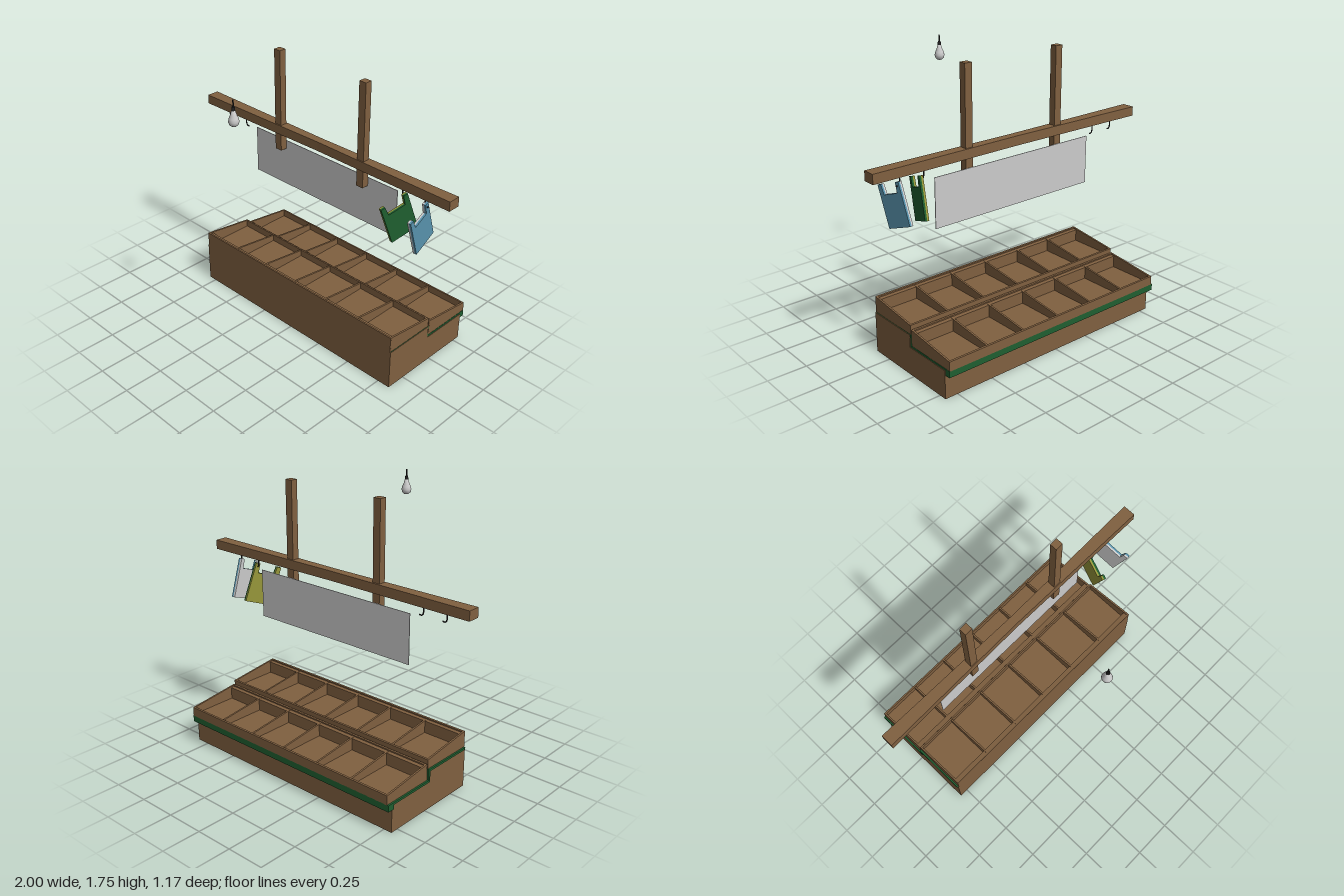
import * as THREE from 'three';

const mat = (color) => new THREE.MeshStandardMaterial({ color, flatShading: true });
const wood = mat(0x806040), green = mat(0x1f5f30), olive = mat(0x97973a);
const blue = mat(0x5893ad), grey = mat(0xcccccc), black = mat(0x222222);

export function createModel() {
  const model = new THREE.Group();

  function add(parent, name, geometry, material) {
    const mesh = new THREE.Mesh(geometry, material);
    mesh.name = name;
    parent.add(mesh);
    return mesh;
  }

  // Box given by its limits on each axis
  function box(name, [x0, x1], [y0, y1], [z0, z1], material, parent = model) {
    const g = new THREE.BoxGeometry(x1 - x0, y1 - y0, z1 - z0);
    g.translate((x0 + x1) / 2, (y0 + y1) / 2, (z0 + z1) / 2);
    return add(parent, name, g, material);
  }

  // Side profile of [z, y] points, swept from x0 to x1
  function sweep(name, points, x0, x1, material, parent = model) {
    const shape = new THREE.Shape(points.map((p) => new THREE.Vector2(...p)));
    const g = new THREE.ExtrudeGeometry(shape, { depth: x1 - x0, bevelEnabled: false });
    g.rotateY(-Math.PI / 2).translate(x1, 0, 0);
    return add(parent, name, g, material);
  }

  // Stepped base of the display crate
  sweep('base', [[0.13, 0], [0.13, 0.26], [-0.222, 0.26], [-0.222, 0.18], [-0.55, 0.18], [-0.55, 0]],
    -0.805, 0.835, wood);

  // Cloth following the step and hanging over the back
  sweep('cloth', [[0.125, 0.248], [0.125, 0.262], [-0.228, 0.262], [-0.228, 0.192], [-0.587, 0.192],
    [-0.587, 0.15], [-0.54, 0.15], [-0.54, 0.178], [-0.215, 0.178], [-0.215, 0.248]], -0.811, 0.832, green);

  // Two sloping trays, each split into six compartments
  function tray(name, zBack, zFront, bottom, yBack, yFront) {
    const group = new THREE.Group();
    group.name = name;
    const topAt = (z) => yBack + (yFront - yBack) * (z - zBack) / (zFront - zBack);
    const wall = (part, z0, z1, x0, x1, drop = 0) => sweep(part,
      [[z0, bottom], [z1, bottom], [z1, topAt(z1) - drop], [z0, topAt(z0) - drop]], x0, x1, wood, group);
    box('trayFloor', [-0.795, 0.825], [bottom, bottom + 0.015], [zBack + 0.005, zFront - 0.005], wood, group);
    wall('trayBack', zBack, zBack + 0.012, -0.80, 0.83);
    wall('trayFront', zFront - 0.012, zFront, -0.80, 0.83);
    wall('trayInnerFront', zFront - 0.035, zFront - 0.012, -0.79, 0.82, 0.008);
    for (let i = 0; i <= 6; i++) {
      const end = i === 0 || i === 6;
      const x = -0.794 + i * 0.2697;
      wall(end ? 'traySide' : 'divider', zBack + 0.006, zFront - 0.006, x - 0.006, x + 0.006, end ? 0 : 0.006);
    }
    model.add(group);
  }
  tray('frontTray', -0.225, 0.13, 0.26, 0.32, 0.365);
  tray('backTray', -0.587, -0.232, 0.19, 0.25, 0.295);

  // Hanging beam, slimmer towards the middle
  const beam = new THREE.BoxGeometry(2, 0.06, 0.08, 12, 1, 1);
  const pos = beam.attributes.position;
  for (let i = 0; i < pos.count; i++) {
    pos.setZ(i, pos.getZ(i) * (0.68 + 0.32 * Math.abs(pos.getX(i))));
  }
  beam.translate(0, 1.224, -0.137);
  add(model, 'beam', beam, wood);

  for (const x of [-0.345, 0.34]) {
    box('post', [x - 0.025, x + 0.025], [1.08, 1.745], [-0.158, -0.112], wood);
  }
  box('signPanel', [-0.595, 0.59], [0.825, 1.135], [-0.163, -0.159], grey);

  // J-shaped hooks under the beam
  for (const x of [-0.815, -0.655, 0.66, 0.82]) {
    const points = [[-0.014, 0.065], [-0.014, 0.02], [-0.009, 0.005], [0.002, 0], [0.014, 0.002]];
    const curve = new THREE.CatmullRomCurve3(points.map(([px, py]) => new THREE.Vector3(x + px, 1.133 + py, -0.137)));
    add(model, 'hook', new THREE.TubeGeometry(curve, 12, 0.004, 6), black);
  }

  // Carrier bags with two strap handles, hanging askew by one of them
  const bagProfile = [[-0.0925, -0.1275], [0.0925, -0.1275], [0.0925, 0.1275], [0.064, 0.1275], [0.058, 0.066],
    [-0.058, 0.066], [-0.064, 0.1275], [-0.0925, 0.1275]];
  function bag(name, x, yaw, outer, inner) {
    const group = new THREE.Group();
    group.name = name;
    sweep('bagLeftFace', bagProfile, 0, 0.012, outer, group);
    sweep('bagRightFace', bagProfile, -0.012, 0, inner, group);
    group.rotation.set(0.34, yaw, 0, 'YXZ');
    group.position.set(x, 1.01, -0.1);
    model.add(group);
  }
  bag('greenBag', 0.655, -0.29, green, olive);
  bag('blueBag', 0.815, 0.12, blue, grey);

  // Light bulb with socket and cord
  const bulb = new THREE.Group();
  bulb.name = 'lightBulb';
  const profile = [[0, 0], [0.014, 0.003], [0.026, 0.014], [0.031, 0.032], [0.027, 0.05], [0.018, 0.07], [0.011, 0.095], [0, 0.097]];
  const glass = new THREE.LatheGeometry(profile.map((p) => new THREE.Vector2(...p)), 20);
  add(bulb, 'glass', glass, new THREE.MeshStandardMaterial({ color: 0xcccccc }));
  add(bulb, 'socket', new THREE.CylinderGeometry(0.009, 0.011, 0.025, 12), black).position.y = 0.105;
  add(bulb, 'cord', new THREE.CylinderGeometry(0.004, 0.004, 0.045, 8), black).position.y = 0.135;
  bulb.position.set(0.01, 1.585, 0.55);
  model.add(bulb);

  return model;
}
